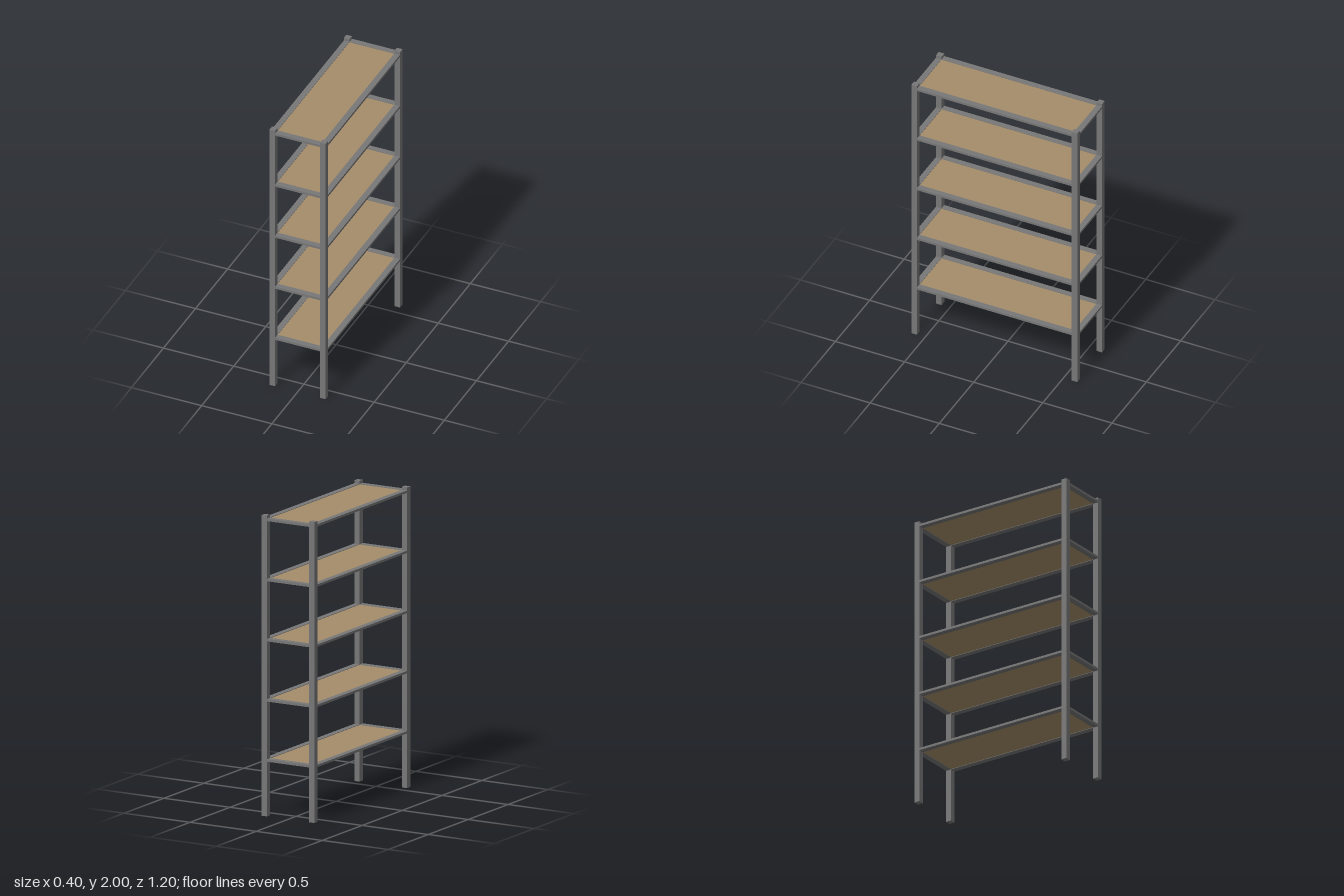
import * as THREE from 'three';

export function createModel() {
  const model = new THREE.Group();
  model.name = 'shelvingUnit';

  const steel = new THREE.MeshStandardMaterial({ color: 0x777777 });
  steel.name = 'grey steel';
  const wood = new THREE.MeshStandardMaterial({ color: 0xa68d69 });
  wood.name = 'tan board';

  const W = 0.4, D = 1.2, H = 2, T = 0.04; // overall size and post width
  const barH = 0.016, boardH = 0.01;

  function box(name, material, size, position, parent) {
    const mesh = new THREE.Mesh(new THREE.BoxGeometry(...size), material);
    mesh.name = name;
    mesh.position.set(...position);
    parent.add(mesh);
  }

  // Four corner posts
  for (const sx of [-1, 1]) {
    for (const sz of [-1, 1]) {
      box('post', steel, [T, H, T], [sx * (W - T) / 2, H / 2, sz * (D - T) / 2], model);
    }
  }

  // Five shelves: a flat bar frame around a slightly recessed board
  for (let i = 0; i < 5; i++) {
    const shelf = new THREE.Group();
    shelf.name = 'shelf';
    shelf.position.y = 0.372 + i * 0.4;
    for (const s of [-1, 1]) {
      box('sideBar', steel, [T, barH, D - 2 * T], [s * (W - T) / 2, 0, 0], shelf);
      box('endBar', steel, [W - 2 * T, barH, T], [0, 0, s * (D - T) / 2], shelf);
    }
    box('board', wood, [W - 2 * T, boardH, D - 2 * T], [0, 0, 0], shelf);
    model.add(shelf);
  }

  return model;
}
